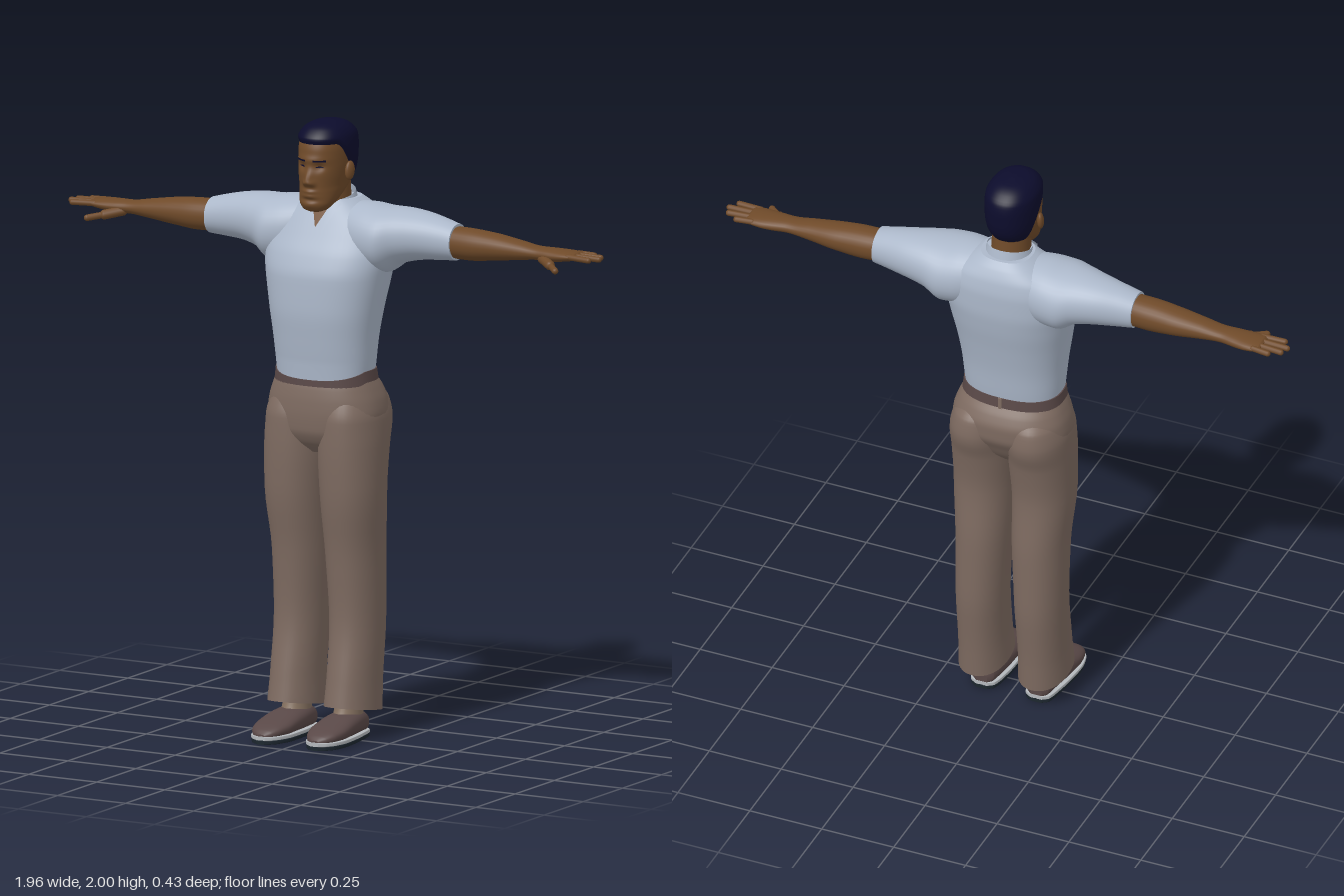
import * as THREE from 'three';

const mat = (name, color, side = THREE.FrontSide) => {
  const m = new THREE.MeshStandardMaterial({ color, side });
  m.name = name;
  return m;
};

// Grid surface from fn(u, v); optionally closed in v, with flat end caps
function grid(fn, us, nv, { closed = true, flip = false, caps = closed } = {}) {
  const cols = closed ? nv : nv + 1, pos = [], idx = [];
  const tri = (a, b, c) => (flip ? idx.push(a, c, b) : idx.push(a, b, c));
  us.forEach((u) => {
    for (let j = 0; j < cols; j++) pos.push(...fn(u, j / nv));
  });
  for (let i = 0; i < us.length - 1; i++) {
    for (let j = 0; j < nv; j++) {
      const a = i * cols + j, b = i * cols + ((j + 1) % cols);
      tri(a, b, b + cols);
      tri(a, b + cols, a + cols);
    }
  }
  if (caps) {
    for (const row of [0, us.length - 1]) {
      const ring = pos.slice(row * cols * 3, (row + 1) * cols * 3), base = pos.length / 3;
      const mid = [0, 1, 2].map((k) => ring.reduce((s, v, i) => (i % 3 === k ? s + v / cols : s), 0));
      pos.push(...ring, ...mid);
      for (let j = 0; j < cols; j++) {
        const k = (j + 1) % cols;
        if (row) tri(base + cols, base + j, base + k);
        else tri(base + cols, base + k, base + j);
      }
    }
  }
  const g = new THREE.BufferGeometry();
  g.setAttribute('position', new THREE.Float32BufferAttribute(pos, 3));
  g.setIndex(idx);
  g.computeVertexNormals();
  return g;
}

// Smooth, non-overshooting interpolation of sections [t, aLo, aHi, bLo, bHi]
function sample(S, t) {
  let i = 0;
  while (i < S.length - 2 && t > S[i + 1][0]) i++;
  const slope = (k, c) => (S[k + 1][c] - S[k][c]) / (S[k + 1][0] - S[k][0]);
  const tangent = (k, c) => {
    if (k === 0) return slope(0, c);
    if (k === S.length - 1) return slope(k - 1, c);
    const p = slope(k - 1, c), q = slope(k, c);
    return p * q <= 0 ? 0 : (2 * p * q) / (p + q);
  };
  const h = S[i + 1][0] - S[i][0], s = (t - S[i][0]) / h, s2 = s * s, s3 = s2 * s;
  return [1, 2, 3, 4].map((c) =>
    (2 * s3 - 3 * s2 + 1) * S[i][c] + (s3 - 2 * s2 + s) * h * tangent(i, c) +
    (3 * s2 - 2 * s3) * S[i + 1][c] + (s3 - s2) * h * tangent(i + 1, c));
}

const order = { y: (a, b, t) => [a, t, b], x: (a, b, t) => [t, a, b], z: (a, b, t) => [a, b, t] };

// Point on a superelliptic loft along an axis
function loftPoint(S, axis, n, t, angle) {
  const [a0, a1, b0, b1] = sample(S, t);
  const pw = (v) => Math.sign(v) * Math.abs(v) ** (2 / n);
  return order[axis]((a0 + a1) / 2 + ((a1 - a0) / 2) * pw(Math.cos(angle)),
    (b0 + b1) / 2 + ((b1 - b0) / 2) * pw(Math.sin(angle)), t);
}

function steps(S, per) {
  const out = [S[0][0]];
  for (let i = 0; i < S.length - 1; i++)
    for (let k = 1; k <= per; k++) out.push(S[i][0] + ((S[i + 1][0] - S[i][0]) * k) / per);
  return out;
}

function loft(S, axis, { n = 2, side = 1, warp = (p) => p, nv = 40, per = 5 } = {}) {
  return grid((t, v) => {
    const [x, y, z] = warp(loftPoint(S, axis, n, t, v * Math.PI * 2));
    return [x * side, y, z];
  }, steps(S, per), nv, { flip: (axis === 'y') !== (side < 0) });
}

// Symmetric section: height, half width, back z, front z
const sym = (rows) => rows.map(([y, r, b, f]) => [y, -r, r, b, f]);

const TORSO = sym([[1.165, 0.156, -0.14, 0.08], [1.2, 0.162, -0.147, 0.086], [1.3, 0.172, -0.16, 0.1],
  [1.4, 0.187, -0.18, 0.11], [1.5, 0.205, -0.203, 0.108], [1.57, 0.215, -0.213, 0.088], [1.63, 0.208, -0.214, 0.055],
  [1.68, 0.185, -0.206, 0.026], [1.72, 0.125, -0.187, 0.002], [1.745, 0.085, -0.165, -0.012]]);
const SLEEVE = [[0.05, 1.57, 1.735, -0.17, 0], [0.14, 1.52, 1.736, -0.203, 0.035], [0.2, 1.515, 1.73, -0.207, 0.042],
  [0.26, 1.55, 1.728, -0.195, 0.015], [0.33, 1.566, 1.72, -0.18, -0.01], [0.4, 1.572, 1.706, -0.16, -0.024], [0.45, 1.576, 1.693, -0.147, -0.03]];
const ARM = [[0.42, 1.583, 1.686, -0.14, -0.037], [0.5, 1.581, 1.684, -0.145, -0.035], [0.58, 1.588, 1.677, -0.145, -0.04],
  [0.68, 1.6, 1.662, -0.135, -0.05], [0.75, 1.607, 1.651, -0.13, -0.056], [0.8, 1.607, 1.65, -0.138, -0.052],
  [0.85, 1.612, 1.648, -0.145, -0.05], [0.885, 1.62, 1.644, -0.144, -0.052], [0.893, 1.627, 1.638, -0.135, -0.06]];
const LEG = [[0.1, 0.022, 0.185, -0.14, 0.096], [0.2, 0.025, 0.182, -0.146, 0.08], [0.4, 0.02, 0.183, -0.164, 0.054],
  [0.6, 0.01, 0.186, -0.163, 0.066], [0.8, 0.002, 0.2, -0.151, 0.094], [0.95, -0.005, 0.202, -0.172, 0.1],
  [1.04, -0.003, 0.199, -0.197, 0.098], [1.1, 0.01, 0.183, -0.188, 0.08], [1.14, 0.03, 0.15, -0.15, 0.05]];
const HIPS = sym([[0.93, 0.11, -0.1, 0.04], [0.97, 0.16, -0.14, 0.08], [1.01, 0.187, -0.165, 0.097], [1.06, 0.197, -0.189, 0.1],
  [1.1, 0.192, -0.19, 0.098], [1.14, 0.179, -0.175, 0.092], [1.17, 0.166, -0.152, 0.084]]);
const BELT = sym([[1.165, 0.17, -0.155, 0.09], [1.2, 0.166, -0.15, 0.088]]);
const NECK = sym([[1.6, 0.07, -0.15, -0.03], [1.7, 0.067, -0.14, 0.004], [1.75, 0.063, -0.132, 0.008], [1.82, 0.062, -0.125, 0.01]]);
const HEAD = sym([[1.714, 0.022, 0.015, 0.058], [1.722, 0.04, 0.0, 0.072], [1.745, 0.057, -0.04, 0.08], [1.78, 0.067, -0.1, 0.08],
  [1.8, 0.07, -0.128, 0.08], [1.83, 0.075, -0.142, 0.08], [1.87, 0.079, -0.149, 0.077], [1.91, 0.08, -0.15, 0.075],
  [1.945, 0.077, -0.145, 0.064], [1.97, 0.064, -0.125, 0.045], [1.987, 0.04, -0.095, 0.015], [1.994, 0.008, -0.05, -0.03]]);
const SHOE = [[-0.085, 0.075, 0.115, 0.015, 0.06], [-0.07, 0.055, 0.135, 0.015, 0.082], [-0.02, 0.043, 0.147, 0.015, 0.095],
  [0.05, 0.036, 0.158, 0.015, 0.09], [0.12, 0.035, 0.163, 0.015, 0.074], [0.17, 0.046, 0.155, 0.016, 0.06],
  [0.2, 0.063, 0.137, 0.017, 0.046], [0.216, 0.085, 0.112, 0.02, 0.032]];

// Facial relief: nose, brow, eye sockets, lips and chin
const bell = (d, w) => Math.exp(-((d / w) ** 2));
function faceRelief([x, y, z]) {
  if (z < 0) return [x, y, z];
  const nose = 0.02 * bell(x, 0.014) * bell(y - 1.814, y > 1.814 ? 0.032 : 0.012) + 0.008 * bell(Math.abs(x) - 0.014, 0.009) * bell(y - 1.81, 0.01);
  const brow = 0.005 * bell(y - 1.884, 0.012) * bell(x, 0.05);
  const eyes = -0.009 * bell(Math.abs(x) - 0.031, 0.016) * bell(y - 1.862, 0.013);
  const lips = 0.007 * bell(x, 0.022) * (bell(y - 1.782, 0.007) + bell(y - 1.768, 0.007));
  const chin = 0.004 * bell(x, 0.025) * bell(y - 1.738, 0.012) - 0.004 * bell(y - 1.755, 0.006) * bell(x, 0.03);
  return [x, y, z + nose + brow + eyes + lips + chin];
}

// Thin plate lying on the front of a loft, between x edges given per height
function plate(S, n, y0, y1, left, right, off, warp = (p) => p, side = 1) {
  const us = Array.from({ length: 9 }, (_, i) => i / 8);
  return grid((u, v) => {
    const y = y0 + (y1 - y0) * u, x = left(u) + (right(u) - left(u)) * v;
    const [, a, b0, b1] = sample(S, y);
    const z = (b0 + b1) / 2 + ((b1 - b0) / 2) * Math.max(0, 1 - Math.abs(x / a) ** n) ** (1 / n);
    const p = warp([x, y, z]);
    return [p[0] * side, p[1], p[2] + off];
  }, us, 8, { closed: false, flip: side < 0 });
}

export function createModel() {
  const skin = mat('brown skin', 0x6f4a29), hair = mat('navy hair', 0x0c0c2c);
  const shirt = mat('pale blue shirt', 0xacb8ca, THREE.DoubleSide), cloth = mat('taupe trousers', 0x7d6a60);
  const leather = mat('dark brown leather', 0x594847), rim = mat('pale sole edge', 0xb4b8bc);
  const rubber = mat('dark sole', 0x1c262e), sock = mat('tan sock', 0x84705f);
  const model = new THREE.Group();
  const add = (name, geo, m) => {
    const mesh = new THREE.Mesh(geo, m);
    mesh.name = name;
    model.add(mesh);
    return mesh;
  };
  const rod = (name, from, to, r) => {
    const a = new THREE.Vector3(...from), d = new THREE.Vector3(...to).sub(a), len = d.length();
    const mesh = add(name, new THREE.CapsuleGeometry(r, len - r, 6, 12), skin);
    mesh.position.copy(a).addScaledVector(d, 0.5);
    mesh.quaternion.setFromUnitVectors(new THREE.Vector3(0, 1, 0), d.normalize());
  };
  const dip = ([x, y, z]) => [x, y - (y < 1.21 && z > 0 ? 0.32 * z : 0), z];

  // Head and neck
  add('neck', loft(NECK, 'y'), skin);
  add('head', loft(HEAD, 'y', { n: 2.2, nv: 112, per: 8, warp: faceRelief }), skin);
  const rows = Array.from({ length: 25 }, (_, i) => 1 - (1 - i / 24) ** 2);
  add('hair', grid((u, v) => {
    const ang = v * Math.PI * 2, line = 1.797 + 0.137 * THREE.MathUtils.smoothstep(Math.sin(ang), -0.6, 0.55);
    const p = loftPoint(HEAD, 'y', 2.2, line + (1.994 - line) * u, ang), k = Math.min(1, u * 8);
    return [p[0] * (1 + 0.09 * k), p[1] + 0.006 * k, -0.035 + (p[2] + 0.035) * (1 + 0.09 * k)];
  }, rows, 64, { flip: true }), hair);

  // Shirt body, open neck and collar
  add('shirtBody', loft(TORSO, 'y', { n: 2.4, nv: 56, warp: dip }), shirt);
  add('openNeck', plate(TORSO, 2.4, 1.66, 1.738, (u) => -0.036 * u, (u) => 0.036 * u, 0.004), skin);
  add('collarBand', grid((u, v) => {
    const ang = Math.PI * (0.68 + 1.64 * v), r = 0.082 - 0.01 * u, z = -0.075 + r * Math.sin(ang);
    return [r * Math.cos(ang), 1.715 + 0.042 * u - 0.25 * (z + 0.075), z];
  }, [0, 0.5, 1], 32, { closed: false, flip: true }), shirt);

  // Trouser top and belt
  add('trouserHips', loft(HIPS, 'y', { n: 2.4, nv: 56 }), cloth);
  add('belt', loft(BELT, 'y', { n: 2.4, nv: 56, warp: dip }), leather);
  const loop = add('backBeltLoop', new THREE.BoxGeometry(0.012, 0.04, 0.006), cloth);
  loop.position.set(0, 1.182, -0.154);

  for (const side of [1, -1]) {
    const tag = side > 0 ? 'left' : 'right';

    // Face details
    const ear = add(tag + 'Ear', new THREE.SphereGeometry(1, 16, 12), skin);
    ear.scale.set(0.011, 0.031, 0.019);
    ear.position.set(side * 0.087, 1.842, -0.03);
    ear.rotation.set(-0.15, side * -0.3, 0);
    add(tag + 'Eyebrow', plate(HEAD, 2.2, 1.879, 1.885, () => 0.014, () => 0.05, 0.0015, faceRelief, side), hair);
    add(tag + 'Eye', plate(HEAD, 2.2, 1.859, 1.865, (u) => 0.031 - 0.012 * Math.sin(Math.PI * u),
      (u) => 0.031 + 0.012 * Math.sin(Math.PI * u), 0.0015, faceRelief, side), hair);

    // Collar flap, sleeve and arm
    add(tag + 'CollarFlap', plate(TORSO, 2.4, 1.655, 1.738, (u) => 0.028 + 0.008 * u, (u) => 0.034 + 0.036 * u, 0.009, undefined, side), shirt);
    add(tag + 'Sleeve', loft(SLEEVE, 'x', { n: 2.1, side }), shirt);
    add(tag + 'Arm', loft(ARM, 'x', { n: 2.1, side, nv: 28 }), skin);

    // Fingers: base z, tip x, tip z
    [[-0.134, 0.932, -0.139], [-0.11, 0.968, -0.116], [-0.086, 0.978, -0.087], [-0.062, 0.957, -0.056]].forEach(([z, tx, tz], i) =>
      rod(tag + 'Finger' + (i + 1), [side * 0.865, 1.633, z], [side * (tx - 0.004), 1.63, tz], 0.0098));
    rod(tag + 'ThumbBase', [side * 0.765, 1.618, -0.075], [side * 0.825, 1.604, -0.032], 0.016);
    rod(tag + 'Thumb', [side * 0.81, 1.607, -0.045], [side * 0.864, 1.597, 0.006], 0.0105);

    // Trouser leg with a hem raised at the front
    add(tag + 'TrouserLeg', loft(LEG, 'y', { n: 2.15, side, warp: ([x, y, z]) =>
      [x, y + 0.15 * (z + 0.02) * Math.max(0, 1 - (y - 0.1) / 0.2), z] }), cloth);

    // Sock and shoe
    add(tag + 'Sock', loft([[0.05, 0.05, 0.14, -0.07, 0.075], [0.1, 0.053, 0.137, -0.07, 0.05], [0.17, 0.055, 0.135, -0.07, 0.03]], 'y', { side }), sock);
    add(tag + 'Shoe', loft(SHOE, 'z', { n: 2.4, side }), leather);
    const slab = (lo, hi, grow) => SHOE.map(([z, a, b]) => [z * 1.015, a - grow, b + grow, lo, hi]);
    add(tag + 'SoleEdge', loft(slab(0.013, 0.026, 0.002), 'z', { n: 9, side }), rim);
    add(tag + 'Sole', loft(slab(0, 0.014, 0), 'z', { n: 9, side }), rubber);
  }
  return model;
}
